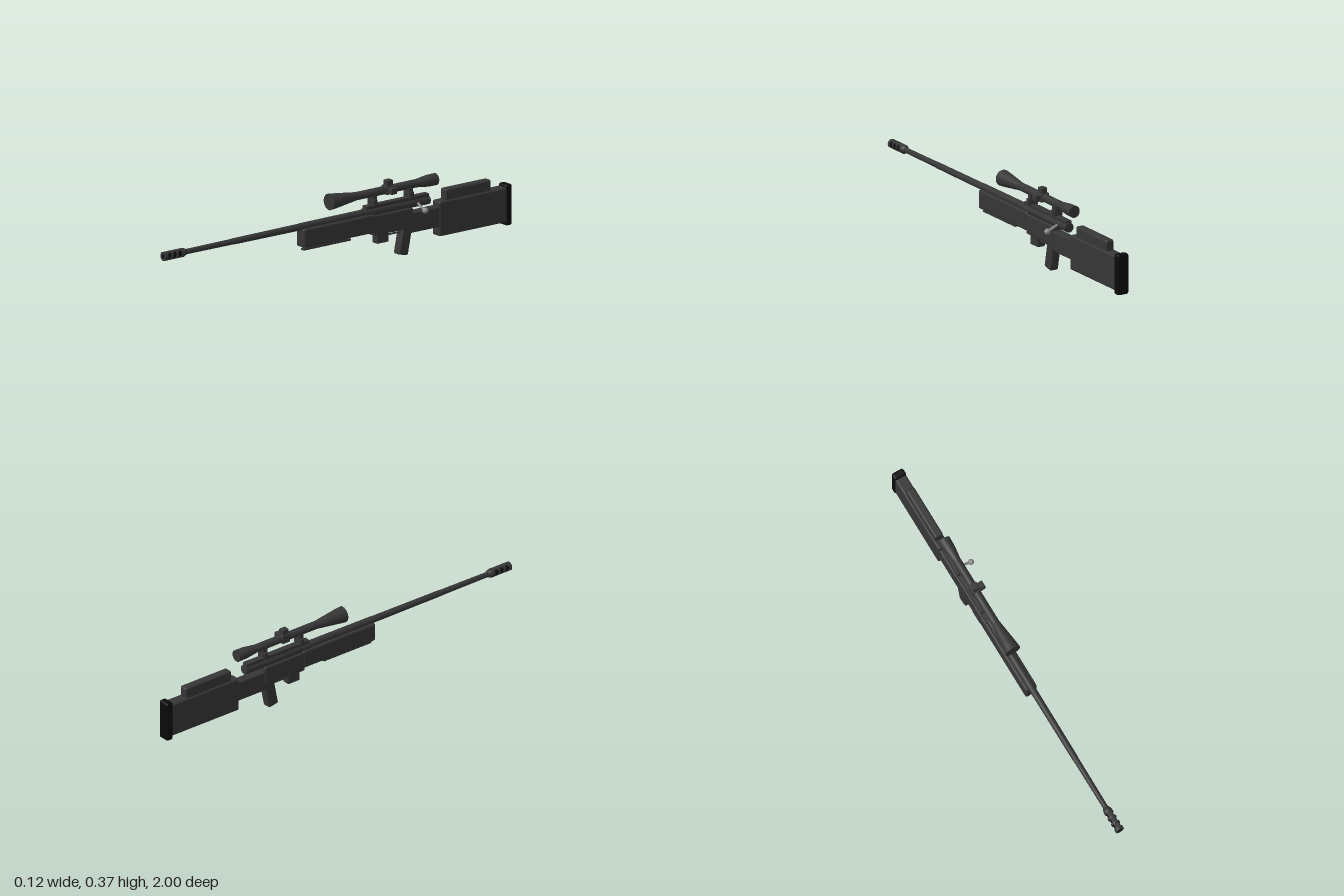
import * as THREE from 'three';
import { RoundedBoxGeometry } from 'three/addons/geometries/RoundedBoxGeometry.js';

const AXIS = -0.025; // x of the bore line
const BORE = 0.235;  // height of the bore
const SIGHT = 0.322; // height of the scope

export function createModel() {
  const model = new THREE.Group();
  const material = (name, color) => {
    const m = new THREE.MeshStandardMaterial({ color });
    m.name = name;
    return m;
  };
  const gunmetal = material('gunmetal', 0x363636);
  const black = material('black', 0x0a0a0a);
  const steel = material('steel', 0x8c8c8c);

  const add = (name, geometry, mat, parent = model) => {
    const mesh = new THREE.Mesh(geometry, mat);
    mesh.name = name;
    parent.add(mesh);
    return mesh;
  };
  // Soft-edged block given by its width and its y and z ranges
  const block = (name, w, y0, y1, z0, z1, r = 0.004, mat = gunmetal, x = AXIS) => {
    const mesh = add(name, new RoundedBoxGeometry(w, y1 - y0, z1 - z0, 2, r), mat);
    mesh.position.set(x, (y0 + y1) / 2, (z0 + z1) / 2);
    return mesh;
  };
  // Round section along z, rear radius to front radius
  const round = (name, y, rRear, rFront, z0, z1, mat = gunmetal) => {
    const g = new THREE.CylinderGeometry(rFront, rRear, z1 - z0, 24).rotateX(Math.PI / 2);
    const mesh = add(name, g, mat);
    mesh.position.set(AXIS, y, (z0 + z1) / 2);
    return mesh;
  };

  // Stock
  block('foreEnd', 0.058, 0.14, 0.228, -0.21, 0.207, 0.01);
  block('foreEndRail', 0.022, 0.123, 0.132, -0.08, 0.195, 0.002);
  block('foreEndRailFoot', 0.016, 0.128, 0.145, -0.06, 0.175, 0.002);
  block('receiverBody', 0.052, 0.125, 0.22, -0.43, -0.2, 0.008);
  block('stockNeck', 0.046, 0.1, 0.197, -0.6, -0.41, 0.008);
  block('buttStock', 0.056, 0.056, 0.22, -0.975, -0.58, 0.01);
  block('cheekRest', 0.042, 0.21, 0.27, -0.885, -0.62, 0.01);
  block('buttPad', 0.06, 0.04, 0.232, -1, -0.964, 0.01, black);

  // Grip, magazine and trigger
  const grip = add('grip', new RoundedBoxGeometry(0.044, 0.14, 0.055, 2, 0.008), gunmetal);
  grip.position.set(AXIS, 0.074, -0.39);
  grip.rotation.x = -0.2;
  block('magazine', 0.039, 0.083, 0.13, -0.292, -0.225, 0.004);
  block('triggerGuard', 0.016, 0.109, 0.114, -0.385, -0.285, 0.002);
  const trigger = block('trigger', 0.008, 0.108, 0.132, -0.338, -0.329, 0.002);
  trigger.rotation.x = 0.25;

  // Receiver tube and barrel
  round('receiverTube', BORE, 0.022, 0.022, -0.533, -0.16);
  round('barrelShank', BORE, 0.018, 0.017, -0.16, 0.21);
  round('barrelRear', BORE, 0.016, 0.0145, 0.2, 0.6);
  round('barrelFront', BORE, 0.0135, 0.012, 0.6, 0.9);

  // Muzzle brake: dark core showing through three side ports
  round('brakeCollar', BORE, 0.014, 0.021, 0.872, 0.888);
  round('brakeCore', BORE, 0.016, 0.016, 0.888, 0.995, black);
  for (const [z0, z1] of [[0.888, 0.905], [0.925, 0.935], [0.955, 0.965], [0.985, 1]]) {
    round('brakeRing', BORE, 0.021, 0.021, z0, z1);
  }
  block('brakeBridge', 0.022, BORE - 0.019, BORE + 0.019, 0.89, 0.994, 0.003);
  const bore = add('bore', new THREE.CircleGeometry(0.009, 20), black);
  bore.position.set(AXIS, BORE, 1.0005);

  // Scope rail and mounts
  block('scopeRail', 0.03, 0.25, 0.268, -0.528, -0.165, 0.003);
  for (const z of [-0.213, -0.423]) {
    block('scopeMount', 0.034, 0.262, 0.312, z - 0.013, z + 0.013, 0.003);
    block('mountClamp', 0.05, 0.262, 0.294, z - 0.011, z + 0.011, 0.003);
  }

  // Scope
  round('scopeTube', SIGHT, 0.019, 0.019, -0.49, -0.1);
  round('objectiveTaper', SIGHT, 0.019, 0.035, -0.115, 0.01);
  round('objectiveRim', SIGHT, 0.035, 0.038, 0.01, 0.04);
  round('eyepieceTaper', SIGHT, 0.027, 0.019, -0.53, -0.465);
  round('eyepiece', SIGHT, 0.028, 0.027, -0.577, -0.53);
  block('turretHousing', 0.042, SIGHT - 0.02, SIGHT + 0.021, -0.325, -0.28, 0.004);
  block('elevationTurret', 0.03, SIGHT, 0.368, -0.32, -0.285, 0.004);
  block('windageTurret', 0.046, SIGHT - 0.015, SIGHT + 0.015, -0.32, -0.285, 0.004, gunmetal, -0.001);

  // Bolt handle with ball knob, on the model's left
  const start = new THREE.Vector3(-0.02, 0.239, -0.46);
  const end = new THREE.Vector3(0.047, 0.21, -0.46);
  add('boltHandle', new THREE.TubeGeometry(new THREE.LineCurve3(start, end), 1, 0.006, 12), steel);
  add('boltKnob', new THREE.SphereGeometry(0.014, 20, 14), steel).position.copy(end);

  return model;
}
